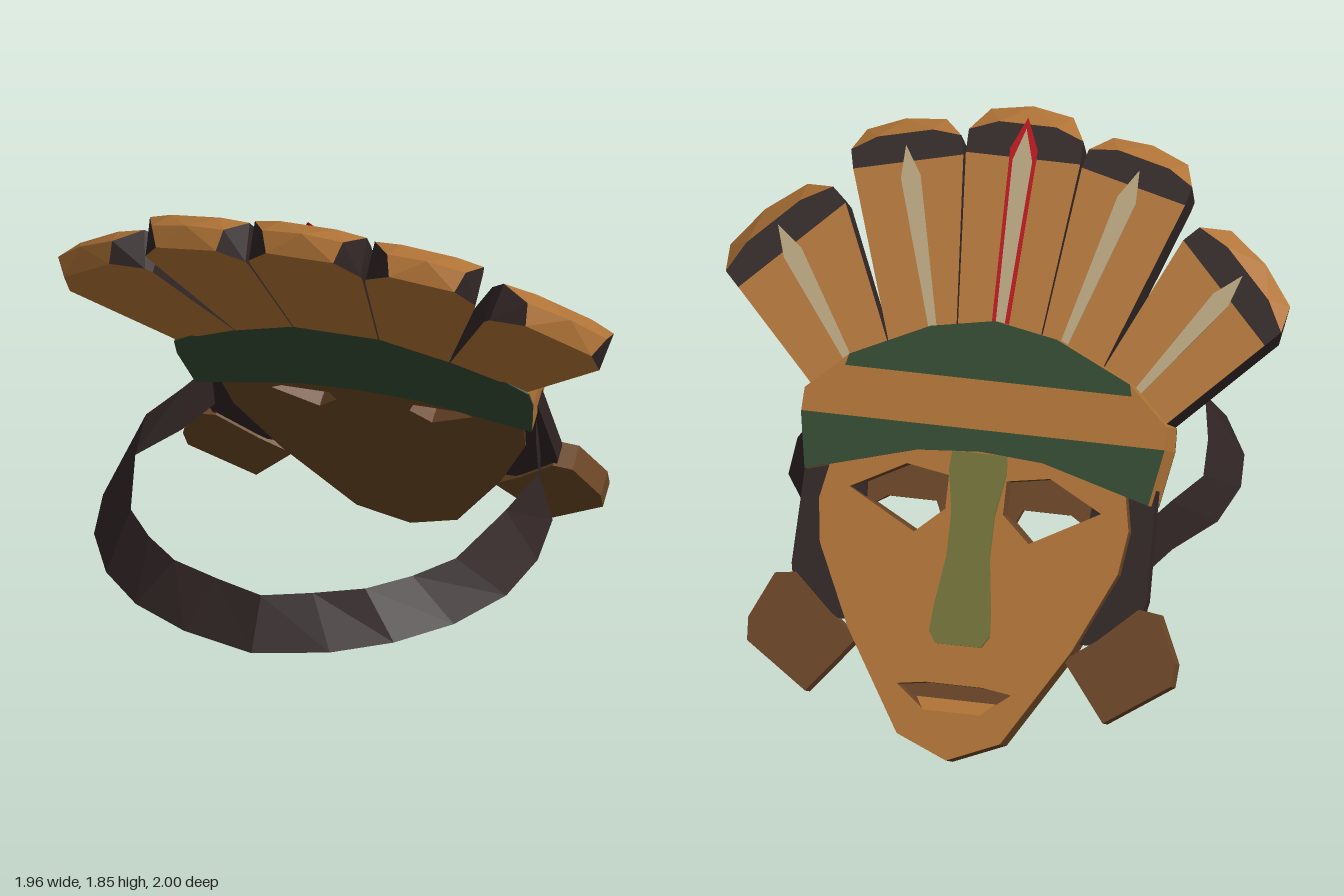
import * as THREE from 'three';
import { ConvexGeometry } from 'three/addons/geometries/ConvexGeometry.js';

const mat = (name, color, side = THREE.FrontSide) => {
  const m = new THREE.MeshStandardMaterial({ color, side });
  m.name = name;
  return m;
};

export function createModel() {
  const tan = mat('tan wood', 0xb17437);
  const brown = mat('brown wood', 0x6b4626);
  const dark = mat('dark leather', 0x302424, THREE.DoubleSide);
  const green = mat('green paint', 0x324a30);
  const olive = mat('olive paint', 0x727338);
  const cream = mat('cream paint', 0xb8a47e);
  const red = mat('red paint', 0xb50c14);

  const model = new THREE.Group();
  model.name = 'mask';

  // Reclined frame: y runs up the slab, z points out of the carved face (towards world -z)
  const tilted = (name, y, z, degrees) => {
    const g = new THREE.Group();
    g.name = name;
    g.position.set(0, y, z);
    g.rotation.set(THREE.MathUtils.degToRad(degrees), Math.PI, 0);
    model.add(g);
    return g;
  };
  const add = (parent, name, geometry, material) => {
    const mesh = new THREE.Mesh(geometry, material);
    mesh.name = name;
    parent.add(mesh);
    return mesh;
  };
  const flip = (pts) => pts.map(([x, ...rest]) => [-x, ...rest]);
  // Right half of an outline, completed with its mirror image
  const sym = (pts) => [...pts, ...flip(pts.filter((p) => p[0] !== 0)).reverse()];
  const vectors = (pts) => pts.map((p) => new THREE.Vector2(...p));
  const slab = (pts, from, to, holes = []) => {
    const shape = new THREE.Shape(vectors(pts));
    shape.holes = holes.map((h) => new THREE.Path(vectors(h)));
    return new THREE.ExtrudeGeometry(shape, { depth: to - from, bevelEnabled: false }).translate(0, 0, from);
  };
  // Convex solid; the optional rule picks a material slot from each face normal
  const hull = (pts, slot = () => 0) => {
    const geo = new ConvexGeometry(pts.map((p) => new THREE.Vector3(...p)));
    const normals = geo.attributes.normal;
    for (let i = 0; i < normals.count; i += 3) {
      geo.addGroup(i, 3, slot(new THREE.Vector3().fromBufferAttribute(normals, i)));
    }
    return geo;
  };

  // Face: carved eyes narrow to smaller holes in the back layer; the mouth is a recess
  const head = tilted('head', 0, -0.89, 32);
  const outline = sym([[0, 0.005], [0.18, 0.08], [0.39, 0.42], [0.52, 0.7], [0.54, 0.85], [0.51, 1.0], [0.22, 1.07], [0, 1.09]]);
  const eye = [[0.44, 0.9], [0.2, 0.77], [0.1, 0.86], [0.1, 0.975], [0.25, 1.0]];
  const eyeBack = [[0.36, 0.86], [0.2, 0.775], [0.13, 0.84], [0.15, 0.885], [0.32, 0.885]];
  const mouth = sym([[0, 0.14], [0.1, 0.17], [0.2, 0.25], [0.1, 0.265]]);
  const holes = [eye, flip(eye), mouth];
  add(head, 'faceBack', slab(outline, 0, 0.04, [eyeBack, flip(eyeBack)]), brown);
  add(head, 'face', slab(outline, 0.04, 0.125, holes), brown);
  add(head, 'faceFront', slab(outline, 0.125, 0.134, holes), tan);
  add(head, 'lowerLip', hull([[0, 0.14, 0.134], [0.1, 0.17, 0.134], [-0.1, 0.17, 0.134],
    [0.14, 0.215, 0.06], [-0.14, 0.215, 0.06], [0.1, 0.17, 0.05], [-0.1, 0.17, 0.05]]), [tan]);
  const nose = sym([[0, 0.4], [0.08, 0.4], [0.105, 0.44], [0.1, 0.52], [0.075, 0.7], [0.075, 0.85], [0.1, 1.0], [0.095, 1.06]]);
  add(head, 'nose', slab(nose, 0.134, 0.15), olive);

  // Ears and hanging ear ornaments
  const ear = [[0.36, 0.45], [0.47, 0.45], [0.6, 0.52], [0.62, 0.62], [0.61, 1.0], [0.4, 1.0]];
  const ornament = [[0.36, 0.39], [0.52, 0.19], [0.74, 0.34], [0.745, 0.42], [0.67, 0.58], [0.6, 0.59], [0.47, 0.47]];
  for (const [side, place] of [['right', (p) => p], ['left', flip]]) {
    add(head, side + 'Ear', slab(place(ear), 0.01, 0.075), dark);
    add(head, side + 'EarOrnament', slab(place(ornament), 0, 0.095), brown);
  }

  // Headband: tan slab, green back, two green stripes in front
  const low = [[0, 1.066], [0.22, 1.05], [0.6, 0.945], [0.635, 1.14]];
  const high = [[0.632, 1.22], [0.49, 1.35], [0.22, 1.475], [0, 1.515]];
  const band = sym([...low, ...high]);
  add(head, 'headband', slab(band, -0.06, 0.138), tan);
  add(head, 'headbandBack', slab(band, -0.067, -0.06), green);
  add(head, 'lowerStripe', slab(sym(low), 0.138, 0.144), green);
  add(head, 'upperStripe', slab(sym([[0, 1.31], [0.5, 1.31], ...high.slice(1)]), 0.138, 0.144), green);

  // Fan of feathers; each has two root corners and two corners where the dark tip begins
  const crest = tilted('feathers', 1.02, -0.18, 39);
  const T = 0.13;
  const addFeather = (name, [rootA, rootB, endA, endB], depth) => {
    // Tan blade with dark edges, its front running down into the headband
    const sunk = (root, end) => {
      const r = new THREE.Vector2(...root), e = new THREE.Vector2(...end);
      return [...r.addScaledVector(e.sub(r).normalize(), -0.13), T];
    };
    add(crest, name, hull(
      [[...rootA, 0], [...rootB, 0], [...endA, 0], [...endB, 0], [...endA, T], [...endB, T], sunk(rootA, endA), sunk(rootB, endB)],
      (n) => (Math.abs(n.z) > 0.8 ? 0 : 1)), [tan, dark]);

    // Bevelled tip: dark band and corners, tan back and top facets
    const dx = endB[0] - endA[0], dy = endB[1] - endA[1], width = Math.hypot(dx, dy);
    const out = new THREE.Vector3(-dy / width, dx / width, 0);
    const at = (t, d, z) => [endA[0] + dx * t + out.x * d * depth, endA[1] + dy * t + out.y * d * depth, z];
    const pts = [at(0.5, 1, 0.07)];
    for (const m of [(t) => t, (t) => 1 - t]) {
      pts.push(at(m(0), 0, 0), at(m(0), 0, T), at(m(0), 0.42, T), at(m(0), 0.2, 0),
        at(m(0.25), 0.62, T), at(m(0.2), 0.72, 0), at(m(0.14), 0.87, 0.07));
    }
    const tipSlot = (n) => {
      const outward = n.dot(out);
      const sideways = Math.sqrt(Math.max(0, 1 - n.z * n.z - outward * outward));
      return n.z < -0.9 || (outward > 0.3 && sideways < 0.35) ? 1 : 0;
    };
    add(crest, name + 'Tip', hull(pts, tipSlot), [dark, tan]);
  };
  // Painted quills
  const blade = (grow, end) => sym([[0, -grow], [0.012 + grow, -grow], [0.034 + grow, end - 0.11], [0, end]]);
  const addQuill = (name, material, grow, end, height, x, y, degrees) => {
    const quill = add(crest, name, slab(blade(grow, end), T, T + height), material);
    quill.position.set(x, y, 0);
    quill.rotation.z = THREE.MathUtils.degToRad(degrees);
  };
  addFeather('centreFeather', [[-0.15, 0.28], [0.15, 0.28], [-0.2, 0.83], [0.2, 0.83]], 0.19);
  addQuill('quillOutline', red, 0.014, 0.825, 0.004, 0, 0.145, 0);
  addQuill('centreQuill', cream, 0, 0.785, 0.008, 0, 0.145, 0);
  const inner = [[0.155, 0.28], [0.38, 0.16], [0.207, 0.82], [0.58, 0.73]];
  const outer = [[0.385, 0.16], [0.625, -0.02], [0.59, 0.61], [0.92, 0.28]];
  for (const s of [-1, 1]) {
    const side = s > 0 ? 'right' : 'left';
    // Mirrored corners swap order so that the tip still points outwards
    const corners = (c) => (s > 0 ? c : [1, 0, 3, 2].map((i) => [-c[i][0], c[i][1]]));
    addFeather(side + 'InnerFeather', corners(inner), 0.16);
    addFeather(side + 'OuterFeather', corners(outer), 0.17);
    addQuill(side + 'InnerQuill', cream, 0, 0.68, 0.008, s * 0.22, 0.176, -s * 16);
    addQuill(side + 'OuterQuill', cream, 0, 0.56, 0.008, s * 0.49, 0.05, -s * 35);
  }

  // Head strap: a faceted strip flaring downwards, rows of [top x, y, z, bottom x, y, z]
  const half = [
    [0.58, 0.77, -0.45, 0.58, 0.59, -0.5], [0.63, 0.765, -0.28, 0.64, 0.588, -0.3],
    [0.7, 0.76, -0.08, 0.75, 0.585, -0.08],
    [0.66, 0.75, 0.18, 0.775, 0.575, 0.18], [0.58, 0.725, 0.5, 0.735, 0.56, 0.42],
    [0.47, 0.72, 0.65, 0.62, 0.56, 0.66], [0.34, 0.72, 0.78, 0.46, 0.56, 0.84],
    [0.17, 0.705, 0.835, 0.26, 0.54, 0.935], [0, 0.695, 0.885, 0, 0.53, 1.0],
  ];
  const rows = [...half, ...half.slice(0, -1).reverse().map(([a, b, c, d, e, f]) => [-a, b, c, -d, e, f])];
  const index = [];
  for (let i = 0; i < rows.length - 1; i++) {
    const k = i * 2;
    index.push(k, k + 2, k + 1, k + 1, k + 2, k + 3);
  }
  const strap = new THREE.BufferGeometry();
  strap.setAttribute('position', new THREE.Float32BufferAttribute(rows.flat(), 3));
  strap.setIndex(index);
  const faceted = strap.toNonIndexed();
  faceted.computeVertexNormals();
  add(model, 'headStrap', faceted, dark);

  return model;
}
